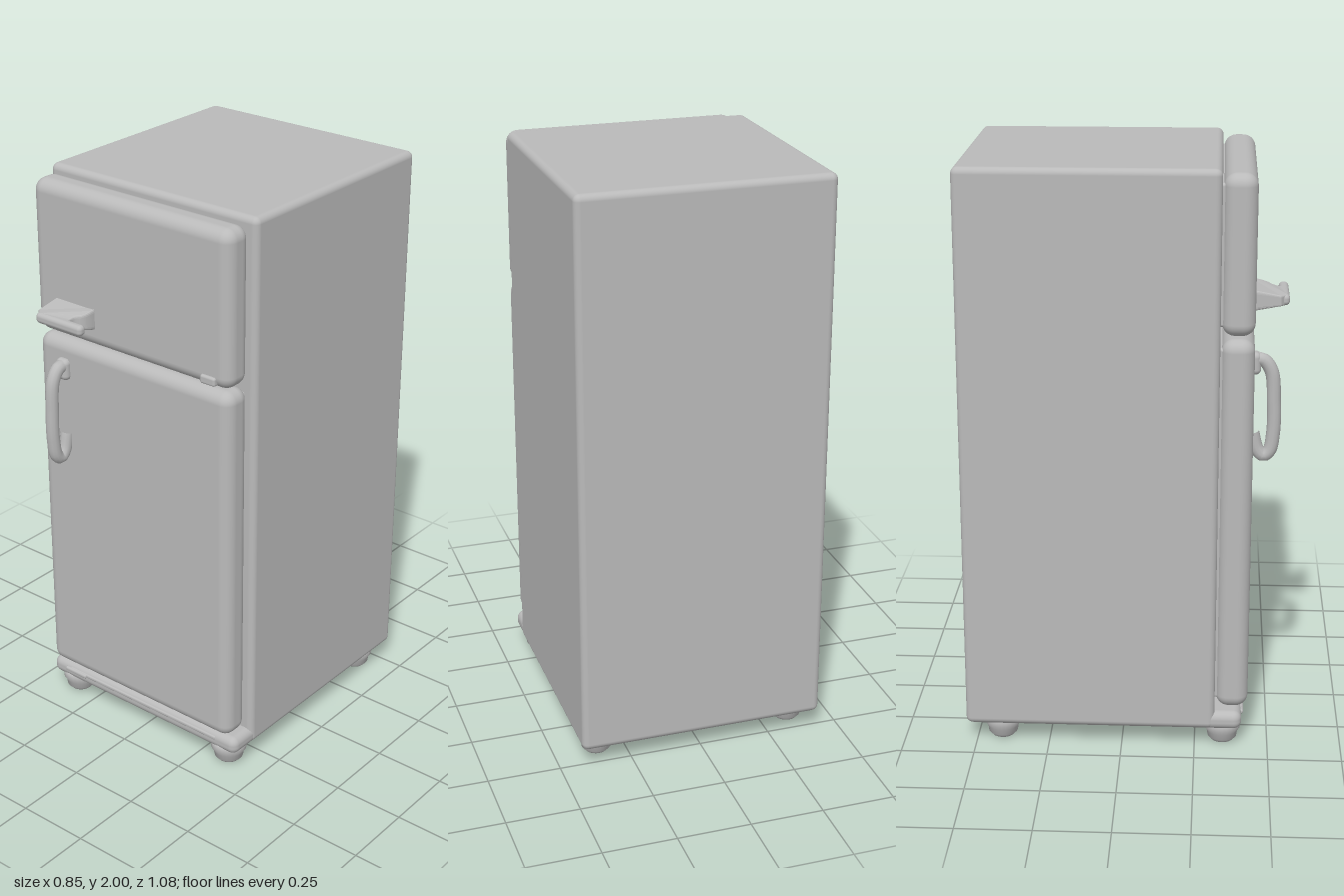
import * as THREE from 'three';
import { RoundedBoxGeometry } from 'three/addons/geometries/RoundedBoxGeometry.js';

export function createModel() {
  const model = new THREE.Group();
  model.name = 'refrigerator';
  const grey = new THREE.MeshStandardMaterial({ color: 0xbababa });
  grey.name = 'plain grey';

  const add = (name, geometry, parent = model) => {
    const mesh = new THREE.Mesh(geometry, grey);
    mesh.name = name;
    parent.add(mesh);
    return mesh;
  };
  // Rounded block given by its lower and upper limits on each axis
  const block = (name, [x0, x1], [y0, y1], [z0, z1], radius, parent) => {
    const mesh = add(name, new RoundedBoxGeometry(x1 - x0, y1 - y0, z1 - z0, 5, radius), parent);
    mesh.position.set((x0 + x1) / 2, (y0 + y1) / 2, (z0 + z1) / 2);
    return mesh;
  };

  // Cabinet, door seals and base rail
  block('cabinet', [-0.427, 0.427], [0.07, 1.995], [-0.535, 0.318], 0.022);
  block('freezerSeal', [-0.385, 0.385], [1.48, 1.945], [0.29, 0.36], 0.01);
  block('fridgeSeal', [-0.385, 0.385], [0.17, 1.41], [0.29, 0.36], 0.01);
  block('baseRail', [-0.425, 0.425], [0.065, 0.13], [-0.533, 0.41], 0.028);
  block('basePlate', [-0.34, 0.34], [0.1, 0.115], [0.37, 0.412], 0.006);

  // Doors
  block('freezerDoor', [-0.41, 0.41], [1.45, 1.978], [0.322, 0.43], 0.042);
  block('fridgeDoor', [-0.41, 0.41], [0.14, 1.44], [0.322, 0.43], 0.042);

  // Small hinge cover and rail latch
  block('hingeCover', [0.3, 0.36], [1.462, 1.492], [0.4, 0.44], 0.008);
  block('railLatch', [-0.36, -0.26], [0.097, 0.113], [0.395, 0.417], 0.007);

  // Freezer handle: tapered mount with a sideways lever
  const handle = new THREE.Group();
  handle.name = 'freezerHandle';
  model.add(handle);
  const mount = new THREE.Shape();
  mount.moveTo(-0.312, 0.415);
  mount.lineTo(-0.312, 0.51);
  mount.lineTo(-0.29, 0.53);
  mount.lineTo(-0.18, 0.525);
  mount.quadraticCurveTo(-0.195, 0.49, -0.165, 0.475);
  mount.quadraticCurveTo(-0.15, 0.46, -0.15, 0.415);
  const mountGeometry = new THREE.ExtrudeGeometry(mount, {
    depth: 0.04, bevelEnabled: true, bevelSize: 0.005, bevelThickness: 0.01, bevelSegments: 3,
  });
  // Narrow the mount in height towards the lever
  const p = mountGeometry.attributes.position;
  for (let i = 0; i < p.count; i++) {
    const t = THREE.MathUtils.clamp((p.getY(i) - 0.43) / 0.08, 0, 1);
    p.setZ(i, (p.getZ(i) - 0.02) * (1.2 - 0.6 * t));
  }
  mountGeometry.rotateX(Math.PI / 2);
  mountGeometry.computeVertexNormals();
  add('handleMount', mountGeometry, handle).position.y = 1.552;
  block('handleLever', [-0.308, -0.11], [1.534, 1.57], [0.508, 0.54], 0.014, handle);

  // Fridge handle: closed upright loop
  const loop = new THREE.CatmullRomCurve3([
    [1.35, 0.432], [1.348, 0.46], [1.31, 0.487], [1.2, 0.497], [1.1, 0.497],
    [1.035, 0.485], [1.02, 0.465], [1.04, 0.445], [1.1, 0.428],
  ].map(([y, z]) => new THREE.Vector3(-0.29, y, z)), false, 'centripetal');
  add('fridgeHandle', new THREE.TubeGeometry(loop, 48, 0.023, 12, false));
  block('handleTopMount', [-0.316, -0.264], [1.3, 1.376], [0.41, 0.452], 0.018);

  // Four stubby rounded feet
  const footProfile = [
    [0, 0], [0.038, 0.002], [0.05, 0.015], [0.053, 0.035], [0.062, 0.05], [0.062, 0.08], [0, 0.09],
  ].map(([r, y]) => new THREE.Vector2(r, y));
  const footGeometry = new THREE.LatheGeometry(footProfile, 24);
  for (const x of [-0.35, 0.35]) {
    for (const z of [-0.415, 0.345]) add('foot', footGeometry).position.set(x, 0, z);
  }

  return model;
}
